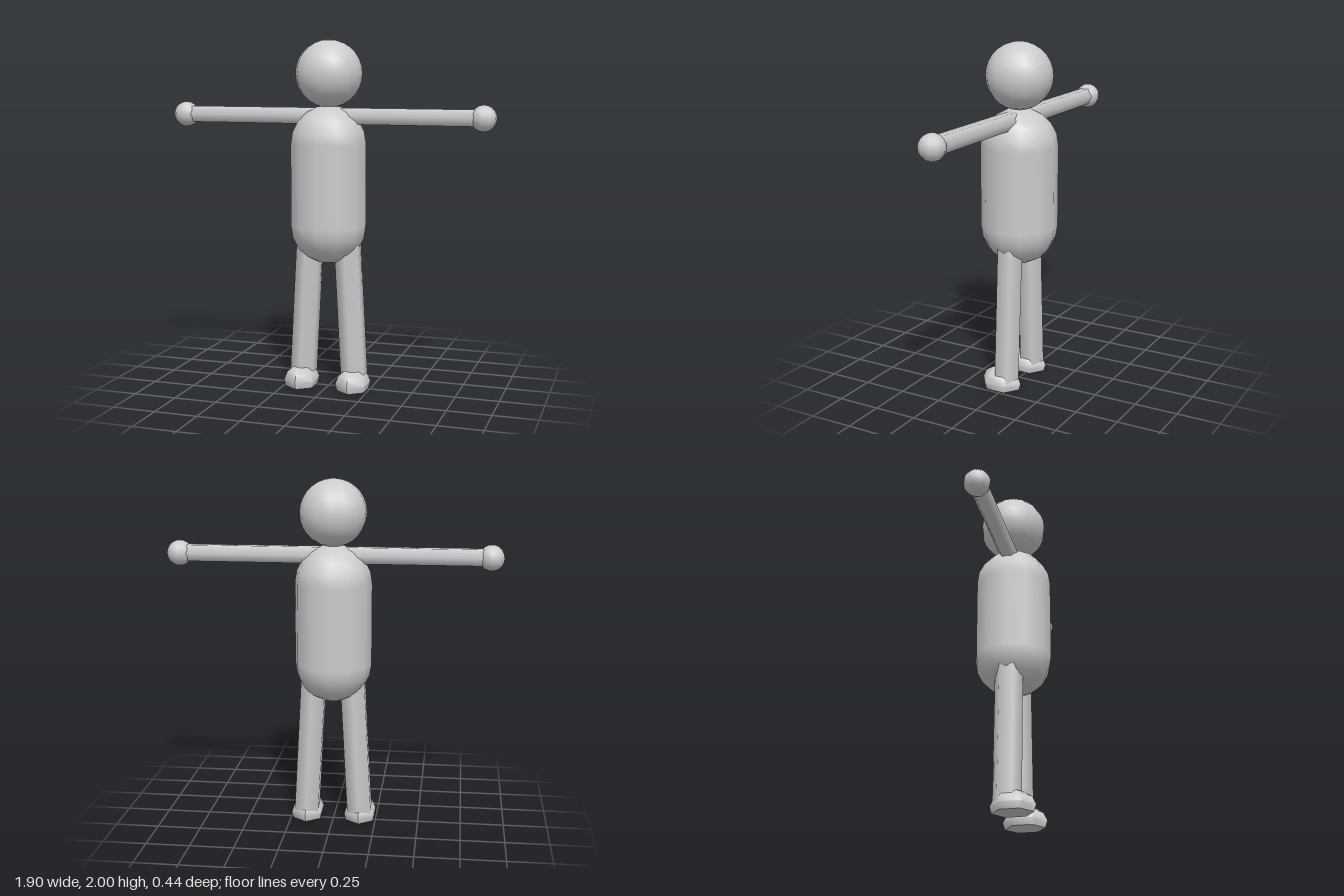
import * as THREE from 'three';
import { toCreasedNormals } from 'three/addons/utils/BufferGeometryUtils.js';

const material = new THREE.MeshStandardMaterial({ color: 0xcccccc });

export function createModel() {
  const model = new THREE.Group();
  model.name = 'figure';

  const add = (name, geometry, x = 0, y = 0, z = 0) => {
    const mesh = new THREE.Mesh(geometry, material);
    mesh.name = name;
    mesh.position.set(x, y, z);
    model.add(mesh);
    return mesh;
  };

  // Ball with a vertex line facing the front
  const ball = (r, sides, rings) =>
    new THREE.SphereGeometry(r, sides, rings).rotateY(Math.PI / 2);

  // Six-sided limb between two points in the x-y plane
  const limb = (name, from, to, r) => {
    const a = new THREE.Vector3(...from);
    const b = new THREE.Vector3(...to);
    const dir = b.clone().sub(a);
    const mesh = add(name, new THREE.CylinderGeometry(r, r, dir.length(), 6));
    mesh.position.copy(a).add(b).multiplyScalar(0.5);
    mesh.quaternion.setFromUnitVectors(new THREE.Vector3(0, 1, 0), dir.normalize());
  };

  // Head and torso
  add('head', ball(0.19, 14, 14), 0, 1.81, 0);
  add('torso', new THREE.CapsuleGeometry(0.22, 0.465, 5, 12), 0, 1.183, 0);

  // Flat-soled, six-sided foot
  const footProfile = [[0, 0], [0.9, 0], [1, 0.04], [0.82, 0.085], [0.5, 0.11], [0, 0.115]]
    .map(([r, y]) => new THREE.Vector2(r, y));
  const foot = toCreasedNormals(
    new THREE.LatheGeometry(footProfile, 6).scale(0.102, 1, 0.126), 1.1);

  // Arms, hands, legs and feet on both sides
  for (const [side, s] of [['left', 1], ['right', -1]]) {
    limb(side + 'Arm', [0, 1.574, 0], [s * 0.88, 1.574, 0], 0.053);
    add(side + 'Hand', ball(0.073, 10, 10), s * 0.88, 1.572, 0);
    limb(side + 'Leg', [s * 0.157, 0.03, 0], [s * 0.11, 0.9, 0], 0.08);
    add(side + 'Foot', foot, s * 0.156, 0, 0.031);
  }
  return model;
}
